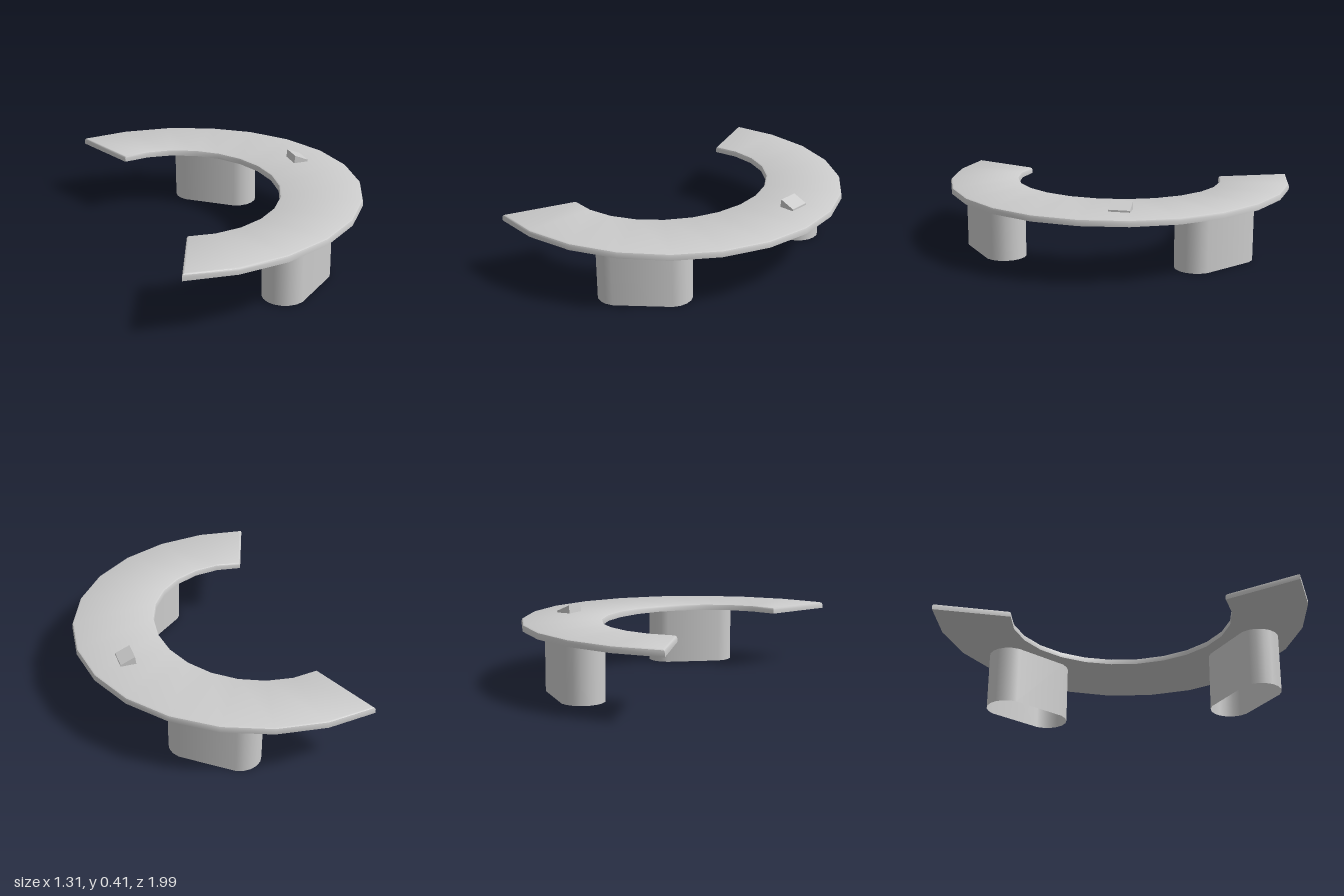
import * as THREE from 'three';
import { toCreasedNormals } from 'three/addons/utils/BufferGeometryUtils.js';

const material = new THREE.MeshStandardMaterial({ color: 0xcccccc, side: THREE.DoubleSide });
const STEPS = 14; // 15 degree facets over a 210 degree arc
const BASE = 0.325, TOP = 0.36;

// Points along one elliptical edge of the plate; both ends are pulled in by `inset`
function arc(cx, rx, rz, inset) {
  const points = [];
  for (let i = 0; i <= STEPS; i++) {
    let t = THREE.MathUtils.degToRad(-105 + 15 * i);
    if (i === 0) t += inset / rz;
    if (i === STEPS) t -= inset / rz;
    points.push([cx + rx * Math.cos(t), rz * Math.sin(t)]);
  }
  return points;
}

// Crescent plate: stacked outlines with a softened upper edge
function plateGeometry() {
  const layers = [[BASE, 0], [0.346, 0], [0.356, 0.004], [TOP, 0.012]].map(([y, inset]) => {
    const outer = arc(-0.39, 1.04, 0.995, inset);
    const inner = arc(-0.365, 0.55 + inset, 0.595 + inset, inset);
    outer.forEach((p, i) => {
      const t = THREE.MathUtils.degToRad(-105 + 15 * i);
      p[0] -= inset * Math.cos(t);
      p[1] -= inset * Math.sin(t);
    });
    return [...outer, ...inner.reverse()].map(([x, z]) => [x, y, z]);
  });
  const pos = [];
  const quad = (a, b, c, d) => pos.push(...a, ...b, ...c, ...a, ...c, ...d);
  const n = layers[0].length;
  for (let k = 0; k < layers.length - 1; k++) {
    for (let i = 0; i < n; i++) {
      const j = (i + 1) % n;
      quad(layers[k][i], layers[k + 1][i], layers[k + 1][j], layers[k][j]);
    }
  }
  const top = layers[layers.length - 1], bottom = layers[0];
  for (let i = 0; i < STEPS; i++) {
    const p = n - 1 - i; // matching point on the inner edge
    quad(top[i], top[p], top[p - 1], top[i + 1]);
    quad(bottom[i], bottom[i + 1], bottom[p - 1], bottom[p]);
  }
  const geometry = new THREE.BufferGeometry();
  geometry.setAttribute('position', new THREE.Float32BufferAttribute(pos, 3));
  return toCreasedNormals(geometry, 0.7);
}

// Open tube with straight sides and round ends: a cylinder pulled apart along x
function legGeometry() {
  const sides = 18, radius = 0.116, half = 0.137;
  const geometry = new THREE.CylinderGeometry(radius, radius, BASE, sides, 1, true, Math.PI / sides);
  const p = geometry.attributes.position;
  for (let i = 0; i < p.count; i++) {
    p.setX(i, p.getX(i) + Math.sign(p.getX(i)) * half);
    p.setZ(i, p.getZ(i) / Math.cos(Math.PI / sides));
  }
  return geometry;
}

export function createModel() {
  const model = new THREE.Group();
  const add = (name, geometry) => {
    const mesh = new THREE.Mesh(geometry, material);
    mesh.name = name;
    model.add(mesh);
    return mesh;
  };

  add('crescentPlate', plateGeometry());

  // Mirrored legs, turned to follow the curve
  const leg = legGeometry();
  for (const side of [1, -1]) {
    const mesh = add(side > 0 ? 'frontLeg' : 'backLeg', leg);
    mesh.position.set(0.073, BASE / 2, side * 0.623);
    mesh.rotation.y = side * THREE.MathUtils.degToRad(39);
  }

  // Small sloping wedge on the plate
  const profile = new THREE.Shape([
    new THREE.Vector2(0.378, TOP - 0.005), new THREE.Vector2(0.464, TOP - 0.005),
    new THREE.Vector2(0.464, 0.37), new THREE.Vector2(0.384, 0.405),
  ]);
  const wedge = add('wedge', new THREE.ExtrudeGeometry(profile, { depth: 0.115, bevelEnabled: false }));
  wedge.position.z = -0.23;

  return model;
}
